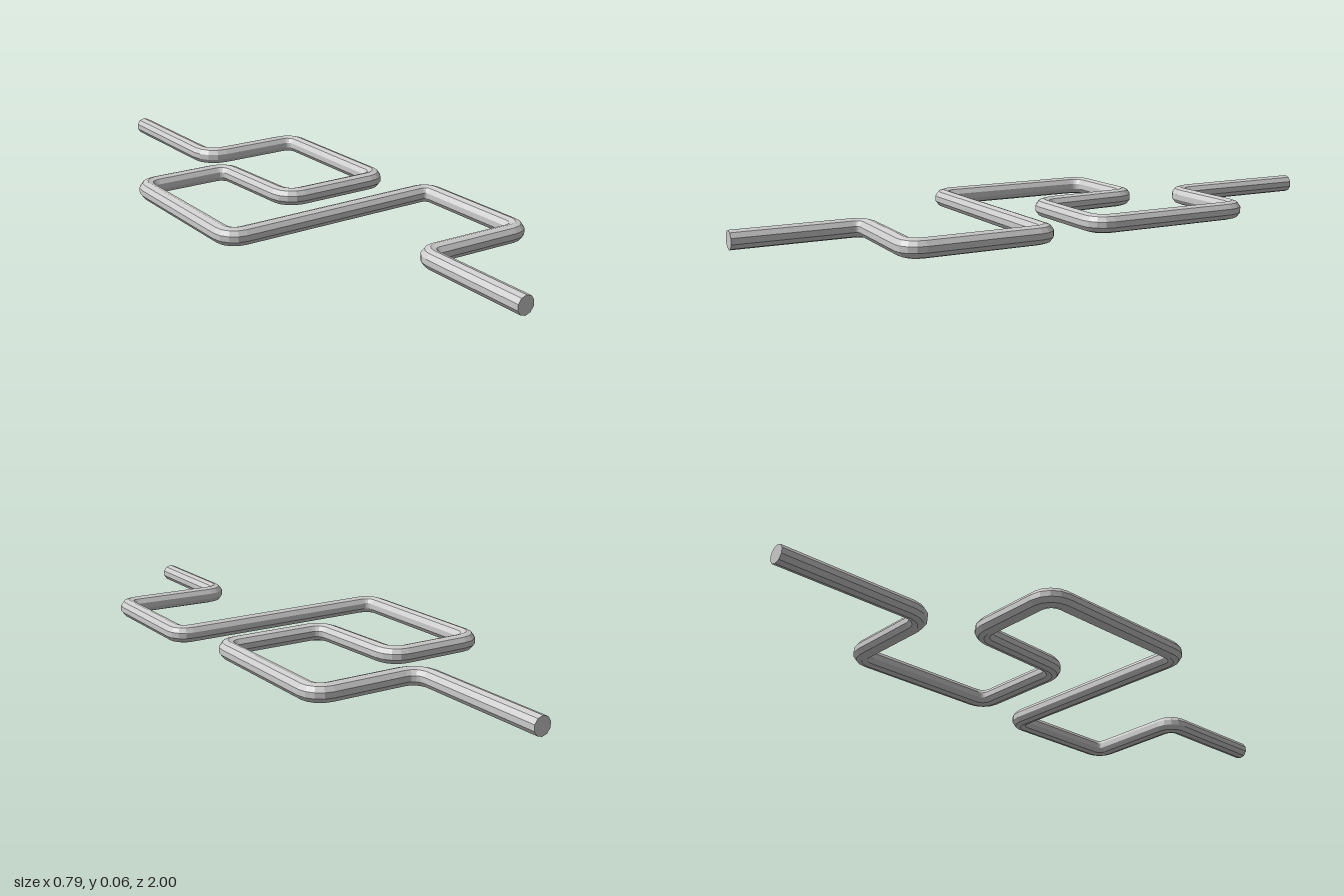
import * as THREE from 'three';

const RADIUS = 0.0285, SIDES = 10, BEND_STEPS = 4;

// Corners of the rod's centre line: x, z, bend radius
const PATH = [
  [-0.03, -1, 0],
  [-0.03, -0.505, 0.06],
  [0.315, -0.505, 0.045],
  [0.315, 0.01, 0.045],
  [-0.04, 0.01, 0.05],
  [-0.06, -0.34, 0.045],
  [-0.367, -0.34, 0.05],
  [-0.367, 0.206, 0.045],
  [0.364, 0.2, 0.036],
  [0.364, 0.62, 0.04],
  [0.01, 0.61, 0.04],
  [0.01, 1, 0],
];

// Centre points and directions of the rings, with each corner rounded
function ringsAlong(path) {
  const pts = path.map(([x, z]) => new THREE.Vector3(x, RADIUS, z));
  const dir = (a, b) => b.clone().sub(a).normalize();
  const last = pts.length - 1;
  const rings = [{ p: pts[0], t: dir(pts[0], pts[1]) }];
  for (let i = 1; i < last; i++) {
    const into = dir(pts[i - 1], pts[i]), out = dir(pts[i], pts[i + 1]), r = path[i][2];
    const at = (d, s) => pts[i].clone().addScaledVector(d, s);
    const bend = new THREE.CubicBezierCurve3(at(into, -r), at(into, -r * 0.45), at(out, r * 0.45), at(out, r));
    for (let k = 0; k <= BEND_STEPS; k++) {
      rings.push({ p: bend.getPoint(k / BEND_STEPS), t: bend.getTangent(k / BEND_STEPS) });
    }
  }
  rings.push({ p: pts[last], t: dir(pts[last - 1], pts[last]) });
  return rings;
}

// Ten-sided sweep with closed ends, an edge running along the top
function rodGeometry(rings) {
  const pos = [], index = [];
  for (const { p, t } of rings) {
    for (let j = 0; j < SIDES; j++) {
      const a = Math.PI / 2 + (j / SIDES) * Math.PI * 2;
      const c = Math.cos(a) * RADIUS;
      pos.push(p.x - t.z * c, p.y + Math.sin(a) * RADIUS, p.z + t.x * c);
    }
  }
  for (let i = 0; i < rings.length - 1; i++) {
    for (let j = 0; j < SIDES; j++) {
      const k = (j + 1) % SIDES, a = i * SIDES, b = a + SIDES;
      index.push(a + j, b + j, a + k, a + k, b + j, b + k);
    }
  }
  const end = (rings.length - 1) * SIDES;
  for (let j = 1; j < SIDES - 1; j++) {
    index.push(0, j, j + 1, end, end + j + 1, end + j);
  }
  const geo = new THREE.BufferGeometry();
  geo.setAttribute('position', new THREE.Float32BufferAttribute(pos, 3));
  geo.setIndex(index);
  geo.computeVertexNormals();
  return geo;
}

export function createModel() {
  const group = new THREE.Group();
  group.name = 'bentRod';
  const material = new THREE.MeshStandardMaterial({ color: 0xcccccc, flatShading: true });
  const rod = new THREE.Mesh(rodGeometry(ringsAlong(PATH)), material);
  rod.name = 'rod';
  group.add(rod);
  return group;
}
